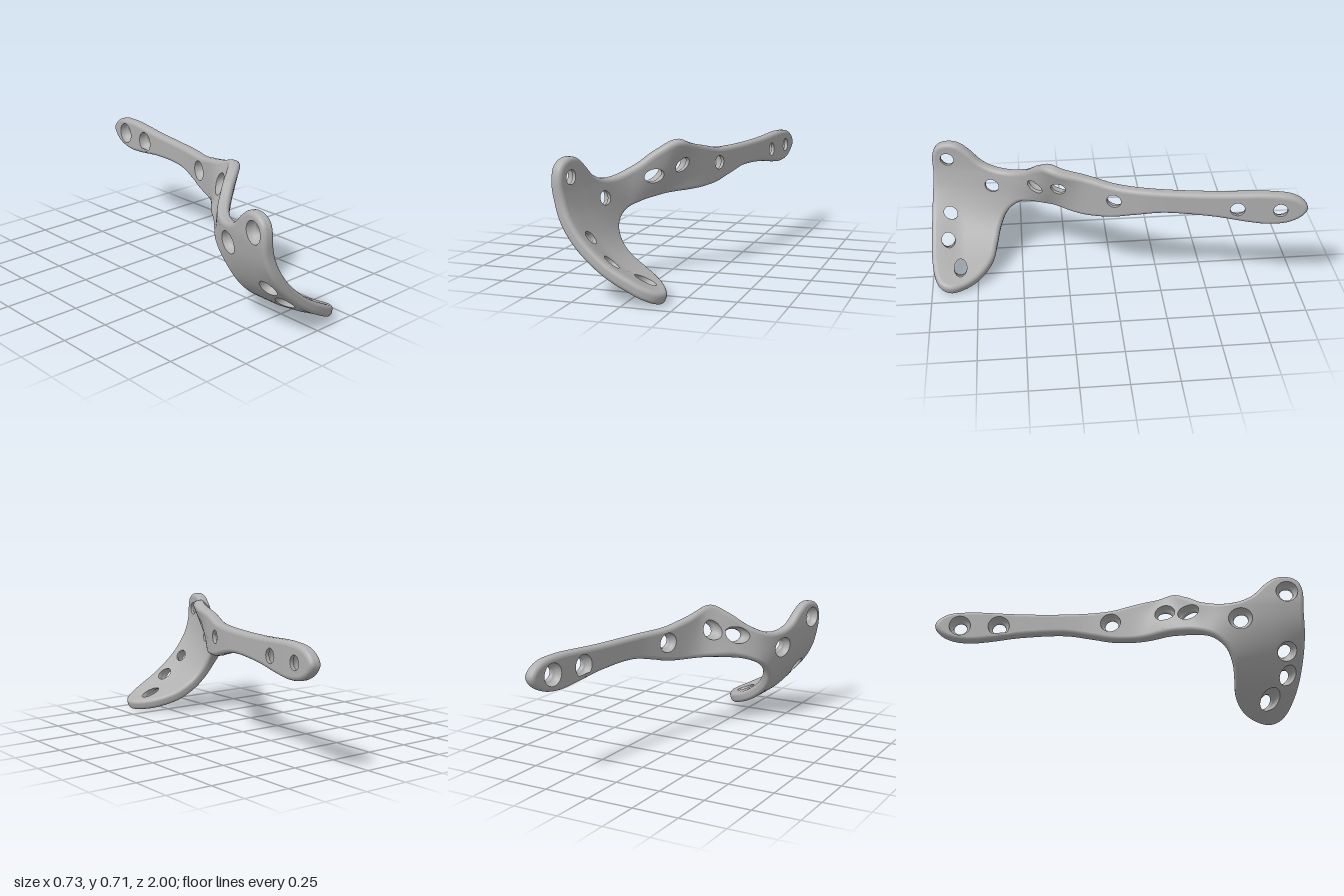
import * as THREE from 'three';
import { mergeGeometries } from 'three/addons/utils/BufferGeometryUtils.js';

const HALF = 0.031;   // half the plate thickness
const ROUND = 0.022;  // edge rounding radius
const { smoothstep, lerp } = THREE.MathUtils;

// Smooth curve through [t, value] pairs
function interp(pts, t) {
  const n = pts.length;
  let i = 0;
  while (i < n - 2 && t > pts[i + 1][0]) i++;
  const slope = (k) => {
    const p = pts[Math.max(k - 1, 0)], q = pts[Math.min(k + 1, n - 1)];
    return (q[1] - p[1]) / (q[0] - p[0]);
  };
  const [t0, v0] = pts[i], [t1, v1] = pts[i + 1], w = t1 - t0, u = (t - t0) / w;
  if (u < 0) return v0 + slope(i) * (t - t0);
  if (u > 1) return v1 + slope(i + 1) * (t - t1);
  const u2 = u * u, u3 = u2 * u;
  return v0 * (2 * u3 - 3 * u2 + 1) + v1 * (3 * u2 - 2 * u3)
    + w * slope(i) * (u3 - 2 * u2 + u) + w * slope(i + 1) * (u3 - u2);
}

// Sideways sweep of the plate along its length: [z, x]
const SWEEP = [[-1, 0.333], [-0.6, 0.277], [-0.2, 0.21], [0, 0.15], [0.2, 0.075], [0.3, 0.022],
  [0.36, -0.018], [0.42, -0.085], [0.5, -0.178], [0.6, -0.238], [0.8, -0.3], [1, -0.342]];
// Curl of the head, by distance s down the curl: [s, x] and [s, y]
const CURL_X = [[-0.205, 0.15], [-0.1, 0.05], [0.01, -0.05], [0.13, -0.15], [0.26, -0.235],
  [0.395, -0.3], [0.52, -0.333], [0.6, -0.338], [0.7, -0.335]];
const CURL_Y = [[-0.205, 0.035], [-0.1, 0.07], [0.01, 0.115], [0.13, 0.185], [0.26, 0.28],
  [0.395, 0.4], [0.52, 0.52], [0.6, 0.6], [0.75, 0.75]];

// Middle surface of the plate; a runs towards the tail, s runs up
function middle(a, s) {
  const z = -a;
  const head = smoothstep(z, 0.2, 0.55);
  const follow = lerp(1, smoothstep(s, 0.03, 0.59), head);
  const curl = lerp(-0.335, interp(CURL_X, s), head);
  const lean = 0.43 * Math.exp(-(((z - 0.31) / 0.11) ** 2)) * (s - 0.57);
  // The lower head is dished: its front edge lifts inwards
  const dish = 0.025 * smoothstep(z, 0.82, 1)
    * (1 - smoothstep(s, 0.1, 0.5)) * lerp(0.4, 1, smoothstep(s, -0.22, 0));
  return new THREE.Vector3(
    curl + (interp(SWEEP, z) + 0.328) * follow + lean + dish * 0.5,
    interp(CURL_Y, s) + dish, z);
}

function normalAt(a, s) {
  const e = 0.004;
  const da = middle(a + e, s).sub(middle(a - e, s));
  const ds = middle(a, s + e).sub(middle(a, s - e));
  return da.cross(ds).normalize();
}

const place = (a, s, t) => middle(a, s).addScaledVector(normalAt(a, s), t);

// Outline of the flattened plate: [z, s]
const OUTLINE = [[0.97, 0.6], [0.95, 0.655], [0.9, 0.683], [0.83, 0.68], [0.77, 0.64], [0.7, 0.575],
  [0.62, 0.546], [0.53, 0.55], [0.46, 0.592], [0.4, 0.665], [0.35, 0.714], [0.25, 0.692], [0.1, 0.66],
  [0, 0.639], [-0.2, 0.632], [-0.5, 0.632], [-0.8, 0.642], [-0.92, 0.628], [-0.98, 0.59], [-0.997, 0.555],
  [-0.97, 0.51], [-0.9, 0.47], [-0.8, 0.456], [-0.7, 0.465], [-0.5, 0.495], [-0.25, 0.505],
  [-0.1, 0.475], [0, 0.449], [0.1, 0.438], [0.3, 0.428], [0.4, 0.408], [0.5, 0.355], [0.57, 0.28],
  [0.61, 0.18], [0.635, 0.07], [0.665, -0.04], [0.74, -0.15], [0.83, -0.212], [0.9, -0.23],
  [0.95, -0.205], [0.98, -0.15], [0.997, -0.045], [1, 0.07], [0.995, 0.2], [0.985, 0.35], [0.972, 0.48]];

// Screw holes: z, s, bore radius, countersink radius, and drill slant along a and s
const HOLES = [[0.885, 0.59, 0.037, 0.057, 0, 0], [0.642, 0.445, 0.039, 0.06, 0, 0],
  [0.89, 0.262, 0.039, 0.052, 0, -0.2], [0.912, 0.108, 0.037, 0.047, 0, -0.8],
  [0.845, -0.055, 0.037, 0.05, 0, -1.3], [0.4, 0.54, 0.036, 0.05, 0.2, 0],
  [0.285, 0.583, 0.037, 0.053, 0.2, 0.25], [-0.005, 0.557, 0.037, 0.055, 0, 0],
  [-0.635, 0.55, 0.038, 0.06, 0, 0], [-0.855, 0.55, 0.037, 0.06, 0, 0]];

const curve = new THREE.CatmullRomCurve3(
  OUTLINE.map(([z, s]) => new THREE.Vector3(-z, s, 0)).reverse(), true);
const EDGE = curve.getSpacedPoints(260).slice(0, -1);

// Outline moved inwards by d
function insetOutline(d) {
  const n = EDGE.length;
  return EDGE.map((p, i) => {
    const dir = EDGE[(i + 1) % n].clone().sub(EDGE[(i + n - 1) % n]).normalize();
    return new THREE.Vector2(p.x - dir.y * d, p.y + dir.x * d);
  });
}

// Clockwise section of a slanted hole at depth t
function holeLoop([z, s, , , slantA, slantS], r, t) {
  const stretch = Math.hypot(1, slantS);
  return Array.from({ length: 32 }, (_, i) => {
    const k = -i / 32 * Math.PI * 2;
    return new THREE.Vector2(-z + slantA * t + r * Math.cos(k), s + slantS * t + r * stretch * Math.sin(k));
  });
}

// One broad face of the plate; side is 1 for inner, -1 for outer
function faceGeometry(side) {
  const outline = insetOutline(ROUND);
  const holes = HOLES.map((h) => holeLoop(h, side > 0 ? h[2] : h[3], HALF * side));
  const points = [outline, ...holes].flat();
  const position = [], normal = [];
  const addTriangle = (p, q, r) => {
    // Halve the longest side until the triangle can follow the bend
    const lengths = [p.distanceTo(q), q.distanceTo(r), r.distanceTo(p)];
    const longest = Math.max(...lengths);
    if (longest > 0.03) {
      while (lengths[0] !== longest) {
        [p, q, r] = [q, r, p];
        lengths.push(lengths.shift());
      }
      const m = p.clone().add(q).multiplyScalar(0.5);
      addTriangle(p, m, r);
      addTriangle(m, q, r);
      return;
    }
    const turn = (q.x - p.x) * (r.y - p.y) - (q.y - p.y) * (r.x - p.x);
    for (const v of turn * side > 0 ? [p, q, r] : [p, r, q]) {
      position.push(...place(v.x, v.y, HALF * side));
      normal.push(...normalAt(v.x, v.y).multiplyScalar(side));
    }
  };
  for (const [i, j, k] of THREE.ShapeUtils.triangulateShape(outline, holes)) {
    addTriangle(points[i], points[j], points[k]);
  }
  const geometry = new THREE.BufferGeometry();
  geometry.setAttribute('position', new THREE.Float32BufferAttribute(position, 3));
  geometry.setAttribute('normal', new THREE.Float32BufferAttribute(normal, 3));
  return geometry;
}

// Wall through closed loops, each { loop, t }, from inner face to outer face
function wallGeometry(rings) {
  const n = rings[0].loop.length, position = [], index = [];
  rings.forEach(({ loop, t }, r) => loop.forEach((p, j) => {
    position.push(...place(p.x, p.y, t));
    if (r === rings.length - 1) return;
    const a = r * n + j, b = r * n + (j + 1) % n;
    index.push(a, a + n, b, b, a + n, b + n);
  }));
  const geometry = new THREE.BufferGeometry();
  geometry.setAttribute('position', new THREE.Float32BufferAttribute(position, 3));
  geometry.setIndex(index);
  geometry.computeVertexNormals();
  return geometry;
}

export function createModel() {
  const metal = new THREE.MeshStandardMaterial({ color: 0xb0b0b0 });
  metal.name = 'satin grey metal';
  const model = new THREE.Group();
  model.name = 'bonePlate';
  const add = (name, geometry) => {
    const mesh = new THREE.Mesh(geometry, metal);
    mesh.name = name;
    model.add(mesh);
  };

  add('innerFace', faceGeometry(1));
  add('outerFace', faceGeometry(-1));

  // Rounded rim
  const rim = [];
  for (const side of [1, -1]) {
    for (let i = 0; i <= 5; i++) {
      const k = (side > 0 ? 5 - i : i) / 5 * Math.PI / 2;
      rim.push({
        loop: insetOutline(ROUND * (1 - Math.cos(k))),
        t: side * (HALF - ROUND + ROUND * Math.sin(k)),
      });
    }
  }
  add('roundedRim', wallGeometry(rim));

  // Straight bore opening into a bowl-shaped countersink
  const walls = HOLES.map((hole) => {
    const [, , bore, sink] = hole;
    const steps = [[bore, HALF], [bore, 0.012]];
    for (let i = 1; i <= 4; i++) {
      const k = i / 4 * Math.PI / 2;
      steps.push([bore + (sink - bore) * Math.sin(k), 0.012 - (HALF + 0.012) * (1 - Math.cos(k))]);
    }
    return wallGeometry(steps.map(([r, t]) => ({ loop: holeLoop(hole, r, t), t })));
  });
  add('screwHoles', mergeGeometries(walls));

  // Rest on the ground, centred
  const box = new THREE.Box3().setFromObject(model);
  const centre = box.getCenter(new THREE.Vector3());
  model.children.forEach((m) => m.geometry.translate(-centre.x, -box.min.y, -centre.z));
  return model;
}
